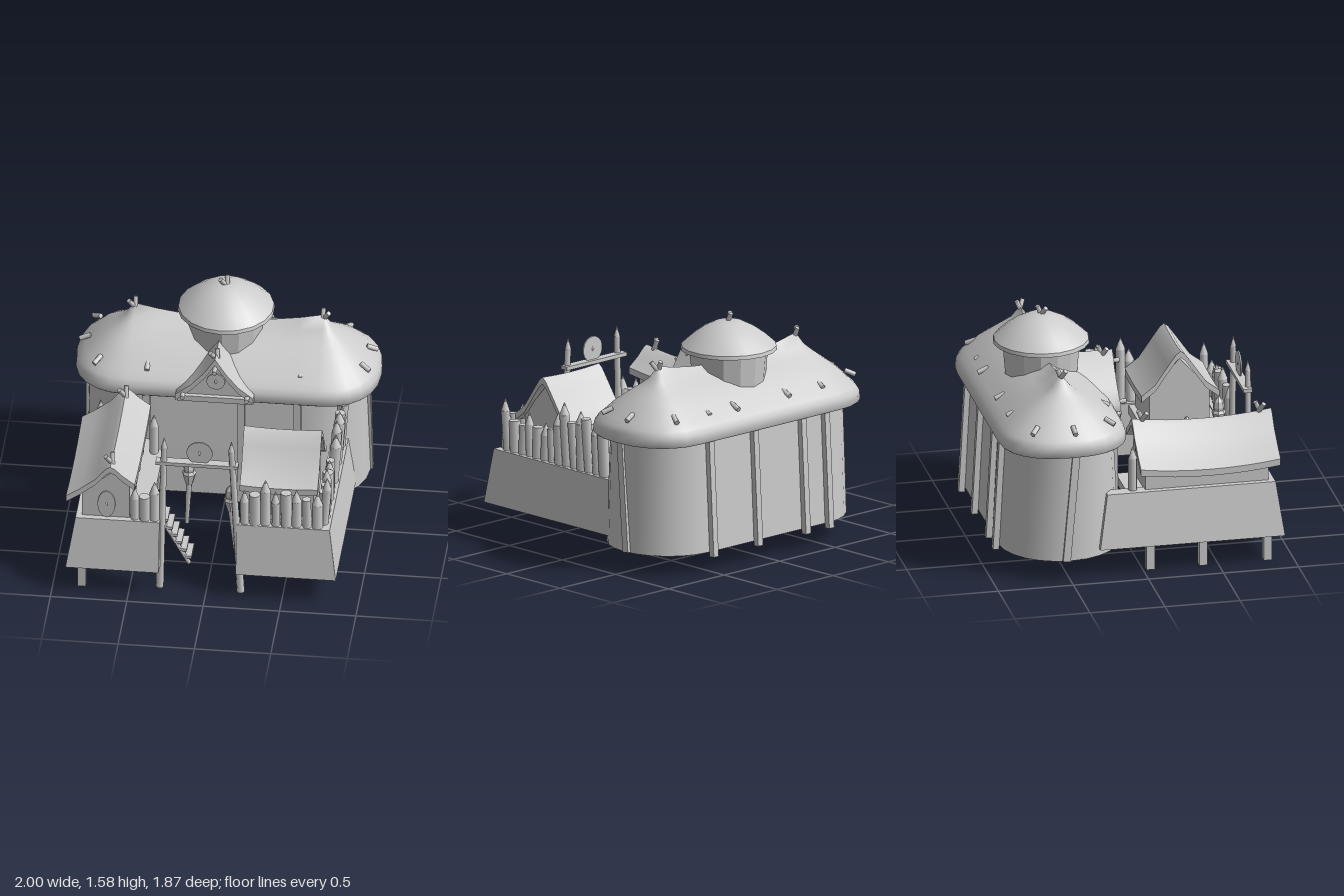
import * as THREE from 'three';
import { toCreasedNormals } from 'three/addons/utils/BufferGeometryUtils.js';

const V = (x, y, z) => new THREE.Vector3(x, y, z);
const mat = new THREE.MeshStandardMaterial({ color: 0xcccccc });
const flat = new THREE.MeshStandardMaterial({ color: 0xcccccc, flatShading: true });
const open = new THREE.MeshStandardMaterial({ color: 0xcccccc, side: THREE.DoubleSide });

export function createModel() {
  const model = new THREE.Group();
  const add = (name, geo, x = 0, y = 0, z = 0, m = mat) => {
    const mesh = new THREE.Mesh(geo, m);
    mesh.name = name;
    mesh.position.set(x, y, z);
    model.add(mesh);
    return mesh;
  };
  // box given by its limits
  const block = (name, x0, x1, y0, y1, z0, z1) =>
    add(name, new THREE.BoxGeometry(x1 - x0, y1 - y0, z1 - z0), (x0 + x1) / 2, (y0 + y1) / 2, (z0 + z1) / 2);
  // round or square bar between two points
  const bar = (name, a, b, r, sides = 7, r2 = r) => {
    const m = add(name, new THREE.CylinderGeometry(r2, r, a.distanceTo(b), sides));
    m.position.copy(a).lerp(b, 0.5);
    m.quaternion.setFromUnitVectors(V(0, 1, 0), b.clone().sub(a).normalize());
    return m;
  };
  // surface through closed rings of points
  const loft = (rings) => {
    const n = rings[0].length, idx = [];
    for (let r = 0; r < rings.length - 1; r++) for (let i = 0; i < n; i++) {
      const a = r * n + i, b = r * n + (i + 1) % n;
      idx.push(a, b, b + n, a, b + n, a + n);
    }
    const g = new THREE.BufferGeometry().setFromPoints(rings.flat());
    g.setIndex(idx);
    return toCreasedNormals(g, 1.1);
  };

  // long hall outline: ridge x plus rounded ends, counter-clockwise from above
  const outline = [];
  for (const side of [1, -1]) {
    for (let i = 0; i <= 12; i++) {
      const a = (-0.5 + i / 12) * Math.PI;
      outline.push({ x: 0.62 * side, c: side * Math.max(0, Math.cos(a)), s: side * Math.sin(a) });
    }
    for (let i = 1; i < 8; i++) outline.push({ x: side * (0.62 - i * 0.155), c: 0, s: side });
  }
  // roof rings have squarer ends, wall rings are half-round
  const roofRing = (rx, rz, y, sag = 0) => outline.map(p =>
    V(p.x + rx * Math.sign(p.c) * Math.abs(p.c) ** 0.85, y - sag * (1 - (p.x / 0.62) ** 2),
      -0.5 - rz * Math.sign(p.s) * Math.abs(p.s) ** 0.85));
  const wallRing = (rx, rz, y) => outline.map(p => V(0.87 * p.x + rx * p.c, y, -0.5 - rz * p.s));
  add('hallWall', loft([wallRing(0.385, 0.395, 0.14), wallRing(0.38, 0.375, 0.55), wallRing(0.375, 0.355, 0.92)]), 0, 0, 0, open);

  // floor of the hall, open in the middle
  const floor = new THREE.Shape(wallRing(0.385, 0.395, 0).map(p => new THREE.Vector2(p.x, p.z)));
  floor.holes.push(new THREE.Path([[-0.4, -0.85], [-0.4, -0.115], [0.5, -0.115], [0.5, -0.85]].map(p => new THREE.Vector2(...p))));
  add('hallFloor', new THREE.ShapeGeometry(floor).rotateX(Math.PI / 2), 0, 0.145, 0, open);

  // thatched hall roof with sagging ridge
  const profile = [[1, 0.895], [0.985, 0.955], [0.93, 0.99], [0.845, 1.02], [0.67, 1.09], [0.43, 1.162], [0.3, 1.2], [0.14, 1.25], [0, 1.33]];
  add('hallRoof', loft([roofRing(0.28, 0.34, 0.92), roofRing(0.37, 0.41, 0.885),
    ...profile.map(([t, y]) => roofRing(0.38 * t, 0.42 * t, y, 0.075 * (1 - t) ** 6))]));

  // timber ribs on the wall
  for (const x of [-0.53, -0.32, 0.11, 0.51]) {
    const rib = block('wallRib', x - 0.022, x + 0.022, 0.11, 0.9, -0.915, -0.875);
    rib.rotation.x = 0.055;
  }
  for (const s of [1, -1]) {
    const rib = block('wallRib', s * 0.92 - 0.015, s * 0.92 + 0.015, 0.14, 0.9, -0.52, -0.47);
    rib.rotation.x = 0.09;
    rib.rotation.z = s * 0.013;
  }
  for (const x of [-0.5, 0.12, 0.49]) block('frontRib', x - 0.025, x + 0.025, 0.09, 0.9, -0.15, -0.1);

  // pairs of sticks tied on the ridges
  const finial = (x, y, z, s = 1) => {
    bar('finial', V(x + 0.03 * s, y - 0.07, z - 0.025), V(x - 0.035 * s, y + 0.04, z + 0.025), 0.016);
    bar('finial', V(x + 0.01 * s, y - 0.07, z + 0.025), V(x + 0.005 * s, y + 0.045, z - 0.025), 0.016);
  };
  finial(-0.62, 1.32, -0.5);
  finial(0.62, 1.32, -0.5, -1);
  finial(-0.02, 1.53, -0.5);

  // pegs holding down the thatch
  for (const [x, z] of [[-0.89, -0.73], [-0.54, -0.81], [-0.23, -0.82], [0.24, -0.83], [0.47, -0.8], [0.75, -0.8], [-0.94, -0.48],
    [-0.83, -0.22], [-0.5, -0.19], [0.5, -0.21], [0.91, -0.33], [0.93, -0.56]]) {
    const d = V(x - THREE.MathUtils.clamp(x, -0.62, 0.62), 0, z + 0.5).normalize();
    bar('roofPeg', V(x, 1.07, z).addScaledVector(d, -0.035), V(x, 1.04, z).addScaledVector(d, 0.035), 0.017);
  }

  // round tower and its cap
  add('tower', new THREE.CylinderGeometry(0.26, 0.23, 0.36, 14), -0.02, 1.19, -0.5, flat);
  const cap = [[0, 1.33], [0.29, 1.33], [0.317, 1.335], [0.312, 1.36], [0.24, 1.425], [0.17, 1.475], [0.09, 1.515], [0, 1.53]];
  add('towerRoof', toCreasedNormals(new THREE.LatheGeometry(cap.map(p => new THREE.Vector2(...p)), 18), 0.6), -0.02, 0, -0.5);

  // bent gable roof: underside and top follow one line, extruded along z and sagging midway
  const gableRoof = (name, line, thick, z0, z1, sag) => {
    const pts = [...line, ...line.map(([x, y]) => [x, y - thick]).reverse()];
    const g = new THREE.ExtrudeGeometry(new THREE.Shape(pts.map(p => new THREE.Vector2(...p))),
      { depth: z1 - z0, steps: 8, bevelEnabled: false });
    const p = g.attributes.position;
    for (let i = 0; i < p.count; i++) {
      const t = p.getZ(i) / (z1 - z0);
      p.setY(i, p.getY(i) - 4 * sag * t * (1 - t));
    }
    g.computeVertexNormals();
    return add(name, toCreasedNormals(g, 0.9), 0, 0, z0, open);
  };
  const gableWall = (name, pts, z0, z1) => add(name, new THREE.ExtrudeGeometry(
    new THREE.Shape(pts.map(p => new THREE.Vector2(...p))), { depth: z1 - z0, bevelEnabled: false }), 0, 0, z0);
  const shield = (x, y, z, rx, ry, turn = 0) => {
    const m = add('shield', new THREE.CylinderGeometry(1, 1, 0.01, 18).rotateX(Math.PI / 2), x, y, z);
    m.scale.set(rx, ry, 1);
    m.rotation.y = turn;
    const boss = add('shieldBoss', new THREE.SphereGeometry(0.01, 8, 6), x, y, z);
    boss.scale.y = 1.8;
  };

  // porch gable over the hall entrance, with purlin ends
  gableRoof('porchRoof', [[-0.3, 0.95], [-0.2, 1.03], [-0.11, 1.13], [-0.04, 1.24], [0.03, 1.13], [0.11, 1.03], [0.21, 0.95]], 0.045, -0.42, -0.03, 0);
  gableWall('porchGable', [[-0.24, 0.93], [0.15, 0.93], [-0.04, 1.18]], -0.4, -0.08);
  block('porchBeam', -0.29, 0.2, 0.89, 0.93, -0.1, -0.05);
  for (const [x, y] of [[-0.25, 0.955], [-0.04, 1.16], [0.17, 0.955]])
    bar('purlinEnd', V(x, y, -0.12), V(x, y, 0.015), 0.016);
  finial(-0.04, 1.22, -0.1);
  shield(-0.04, 1.04, -0.075, 0.06, 0.06);

  // long side hut
  gableRoof('longHutRoof', [[-0.91, 0.73], [-0.82, 0.79], [-0.72, 0.87], [-0.65, 0.955], [-0.62, 0.975], [-0.59, 0.96], [-0.54, 0.91], [-0.46, 0.85]], 0.045, -0.03, 0.9, 0.033);
  gableWall('longHutWall', [[-0.81, 0.5], [-0.5, 0.5], [-0.5, 0.82], [-0.62, 0.89], [-0.81, 0.73]], 0.02, 0.84);
  shield(-0.65, 0.65, 0.845, 0.058, 0.1);
  for (const z of [0.12, 0.32, 0.52]) shield(-0.495, 0.67, z, 0.06, 0.1, Math.PI / 2);
  finial(-0.62, 0.98, 0.04);
  finial(-0.62, 0.98, 0.82);

  // small hut, ridge running across
  const hut = new THREE.Group();
  hut.name = 'smallHut';
  hut.add(
    gableRoof('smallHutRoof', [[-0.26, 0.79], [-0.17, 0.86], [-0.08, 0.99], [-0.03, 1.06], [0, 1.085], [0.03, 1.06], [0.08, 0.99], [0.17, 0.86], [0.26, 0.79]], 0.045, -0.255, 0.255, 0.01),
    gableWall('smallHutWall', [[-0.2, 0.5], [0.2, 0.5], [0.2, 0.8], [0, 1.02], [-0.2, 0.8]], -0.22, 0.22));
  hut.rotation.y = Math.PI / 2;
  hut.position.set(0.465, 0, 0.48);
  model.add(hut);

  // platforms: boxes whose outer faces lean inward at the top
  const apron = (x0, x1, z0, z1, inL, inR, inB, inF) => {
    const m = block('platformApron', x0, x1, 0.19, 0.55, z0, z1), p = m.geometry.attributes.position;
    for (let i = 0; i < p.count; i++) if (p.getY(i) > 0) {
      p.setX(i, p.getX(i) + (p.getX(i) < 0 ? inL : -inR));
      p.setZ(i, p.getZ(i) + (p.getZ(i) < 0 ? inB : -inF));
    }
    m.geometry.computeVertexNormals();
  };
  apron(0.7, 0.855, -0.3, 0.89, 0, 0.045, 0.06, 0.045);
  apron(0.2, 0.855, 0.75, 0.89, 0, 0.045, 0, 0.045);
  apron(-0.91, -0.76, -0.3, 0.93, 0.06, 0, 0.06, 0.05);
  apron(-0.91, -0.3, 0.8, 0.93, 0.06, 0, 0, 0.05);
  block('smallHutFloor', 0.21, 0.72, 0.48, 0.54, 0.24, 0.76);
  block('longHutFloor', -0.8, -0.46, 0.48, 0.54, -0.1, 0.85);
  block('walkway', -0.47, -0.37, 0.49, 0.54, 0.01, 0.7);
  for (const z of [0.05, 0.4, 0.83]) block('stilt', -0.84, -0.785, 0, 0.3, z - 0.027, z + 0.027);

  // stairs
  for (let i = 0; i < 8; i++) {
    const x = -0.355 + i * 0.031, y = 0.51 - i * 0.055;
    block('stairTread', x - 0.024, x + 0.02, y - 0.01, y + 0.01, 0.475, 0.63);
  }
  for (const z of [0.495, 0.61]) bar('stairStringer', V(-0.38, 0.51, z), V(-0.135, 0.07, z), 0.015, 4);

  // palisade logs, uneven in girth and lean; a negative height means a cut-off top
  const log = (x, z, h, i, lean = 0) => {
    const top = Math.abs(h), r = 0.029 + 0.004 * (i * 5 % 3), end = h > 0 ? top - 0.08 : top;
    const head = V(x + lean, end, z + 0.012 * Math.sin(i * 2.4));
    bar('palisadeLog', V(x, 0.5, z), head, r, 8);
    if (h > 0) bar('logPoint', head, head.clone().setY(top), r, 8, 0.003);
  };
  [0.8, -0.78, 0.88, 0.81, -0.8, 0.82, -0.77, 0.8].forEach((h, i) => log(0.25 + i * 0.068, 0.81, h, i));
  [0.9, -0.76, -0.75, 0.84, -0.76, 0.8, -0.77, 0.9, 0.98, -0.86, 0.95, -0.91, 0.9, -0.88]
    .forEach((h, i) => log(0.76, 0.76 - i * 0.07, h, i, Math.abs(h) > 0.85 ? 0.025 : 0));
  [0.79, -0.73, 0.83].forEach((h, i) => log(-0.465 + i * 0.064, 0.84, h, i));
  log(-0.79, -0.06, 0.85, 0);
  log(-0.43, 0.05, 0.83, 0);

  // gate
  for (const [x0, x1] of [[-0.305, -0.275], [0.225, 0.165]]) {
    bar('gatePost', V(x0, 0.015, 0.82), V(x1, 1.11, 0.82), 0.026, 8, 0.02);
    bar('gatePostTip', V(x1, 1.11, 0.82), V(x1, 1.18, 0.82), 0.02, 8, 0.002);
  }
  block('gateBeam', -0.33, 0.21, 0.975, 1.0, 0.78, 0.84);
  shield(-0.045, 1.07, 0.81, 0.085, 0.085);

  // torches
  const torch = (x, y, z, lean) => {
    const prof = [[0, -0.02], [0.025, 0], [0.048, 0.08], [0.036, 0.1], [0.04, 0.12], [0.032, 0.16], [0, 0.2]];
    bar('torchPole', V(x - lean, y - 0.31, z), V(x, y + 0.02, z), 0.014, 6, 0.022);
    add('torchHead', new THREE.LatheGeometry(prof.map(p => new THREE.Vector2(...p)), 7), x, y, z, flat);
  };
  torch(-0.155, 0.58, 0.44, 0.015);
  torch(0.15, 0.58, 0.72, -0.03);
  torch(0.29, 0.58, 0.06, 0);

  // stores by and under the hall
  for (const [x, z] of [[0.31, -0.04], [-0.46, -0.46], [0.31, -0.46]])
    block('crate', x - 0.06, x + 0.06, 0.11, 0.24, z - 0.06, z + 0.06);
  const barrel = [[0, 0], [0.05, 0], [0.066, 0.09], [0.05, 0.18], [0, 0.18]];
  add('barrel', new THREE.LatheGeometry(barrel.map(p => new THREE.Vector2(...p)), 8), 0.51, 0.2, -0.02, flat);
  return model;
}
